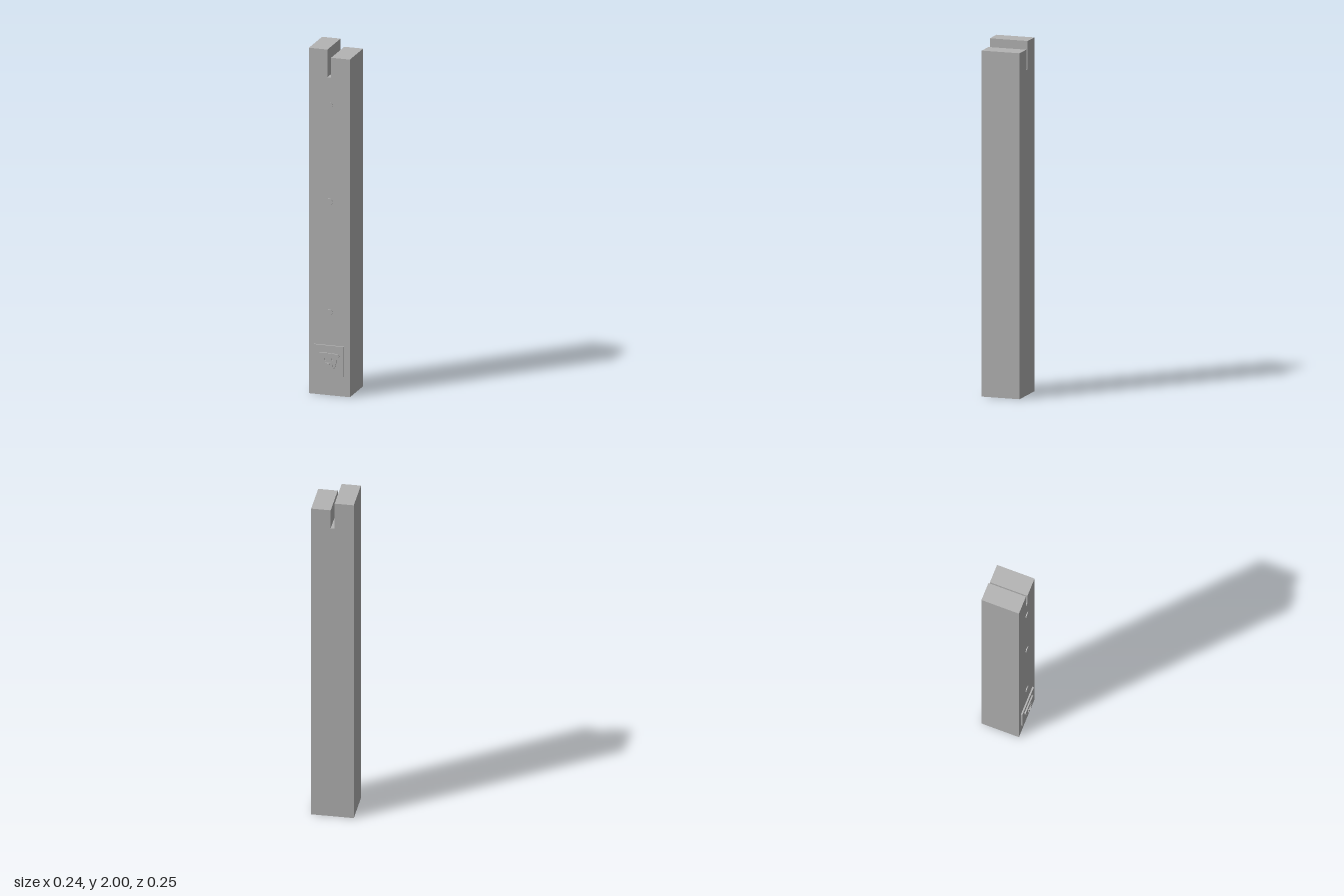
import * as THREE from 'three';

export function createModel() {
  const model = new THREE.Group();
  const grey = new THREE.MeshStandardMaterial({ color: 0xb4b4b4 });
  grey.name = 'plain grey';

  const add = (name, geometry, x = 0, y = 0, z = 0, parent = model) => {
    const mesh = new THREE.Mesh(geometry, grey);
    mesh.name = name;
    mesh.position.set(x, y, z);
    parent.add(mesh);
    return mesh;
  };
  const extrude = (shape, depth) =>
    new THREE.ExtrudeGeometry(shape, { depth, bevelEnabled: false, curveSegments: 8 });
  const polygon = (points) => new THREE.Shape(points.map(([x, y]) => new THREE.Vector2(x, y)));
  const oval = (rx, ry) => new THREE.Shape().absellipse(0, 0, rx, ry, 0, Math.PI * 2);

  // Square post with a slot in its stepped top
  const back = -0.125, front = 0.098;
  add('post', extrude(polygon([
    [-0.12, 0], [0.12, 0], [0.12, 1.955], [0.01, 1.955],
    [0.01, 1.84], [-0.012, 1.84], [-0.012, 2], [-0.12, 2],
  ]), front - back), 0, 0, back);

  // Three shallow studs up the front
  for (const y of [0.48, 1.12, 1.68]) {
    const stud = new THREE.CylinderGeometry(0.019, 0.019, 0.005, 24).rotateX(Math.PI / 2);
    add('stud', stud, 0, y, front + 0.0025);
  }

  // Square plaque
  add('plaque', new THREE.BoxGeometry(0.177, 0.175, 0.009), -0.0015, 0.2025, front + 0.0045);

  // Animal face in stepped relief
  const face = new THREE.Group();
  face.name = 'animalFace';
  face.position.set(0, 0.2, 0.107);
  model.add(face);
  const head = new THREE.Shape();
  head.moveTo(0, -0.052);
  head.bezierCurveTo(0.03, -0.052, 0.045, -0.03, 0.045, 0.012);
  head.bezierCurveTo(0.07, 0.025, 0.065, 0.05, 0.04, 0.045);
  head.quadraticCurveTo(0, 0.05, -0.04, 0.045);
  head.bezierCurveTo(-0.065, 0.05, -0.07, 0.025, -0.045, 0.012);
  head.bezierCurveTo(-0.045, -0.03, -0.03, -0.052, 0, -0.052);
  // Sunken eyes
  for (const side of [-1, 1]) {
    head.holes.push(new THREE.Path().absellipse(side * 0.02, 0.012, 0.006, 0.007, 0, Math.PI * 2));
  }
  add('head', extrude(head, 0.008), 0, 0, 0, face);
  add('muzzle', extrude(oval(0.027, 0.02), 0.004), 0, -0.023, 0.008, face);
  add('nose', extrude(oval(0.01, 0.007), 0.004), 0, -0.015, 0.012, face);

  return model;
}
